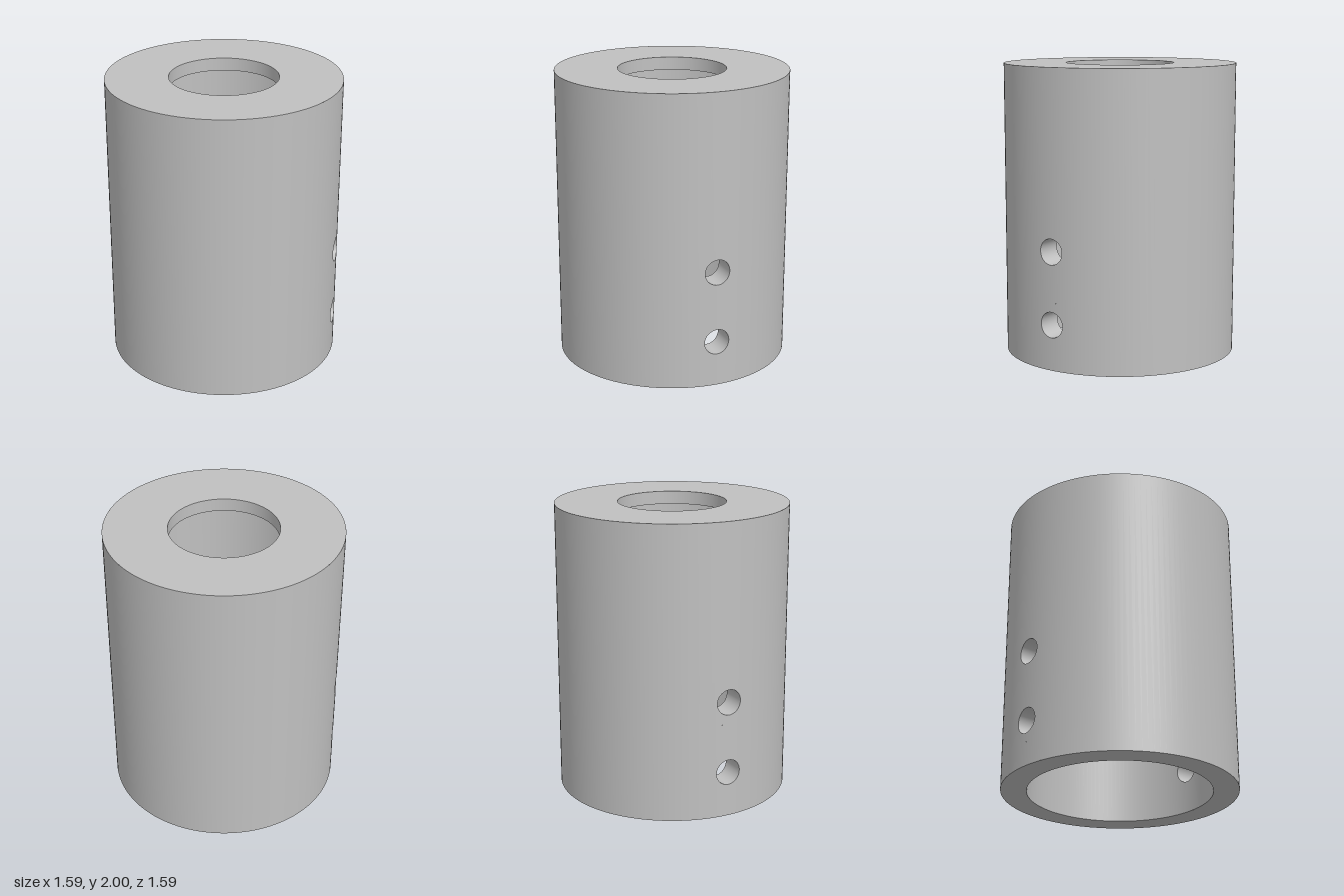
import * as THREE from 'three';
import { ParametricGeometry } from 'three/addons/geometries/ParametricGeometry.js';

const OUTER = 0.797, BORE = 0.623, MOUTH = 0.37; // radii
const HEIGHT = 2, LEDGE = 1.91;                  // lip underside height
const HOLE = 0.087, HOLE_Y = [0.31, 0.8];        // cross holes along x
const S = 0.15;                                  // half size of the wall patch round a hole

export function createModel() {
  const model = new THREE.Group();
  model.name = 'collar';
  const grey = new THREE.MeshStandardMaterial({ color: 0xc0c0c0, side: THREE.DoubleSide });
  grey.name = 'metalGrey';

  const add = (parent, name, geometry) => {
    const mesh = new THREE.Mesh(geometry, grey);
    mesh.name = name;
    parent.add(mesh);
  };
  const surface = (parent, name, nu, nv, flip, fn) =>
    add(parent, name, new ParametricGeometry((u, v, p) => fn(flip ? 1 - u : u, v, p), nu, nv));

  // Section of a cylinder wall between two angles and two heights
  const wall = (parent, name, r, a0, a1, y0, y1, inward, n) =>
    surface(parent, name, n, 1, !inward, (u, v, p) => {
      const a = a0 + (a1 - a0) * u;
      p.set(r * Math.cos(a), y0 + (y1 - y0) * v, r * Math.sin(a));
    });

  // Curved square patch with a round hole
  const holePatch = (parent, name, r, y, inward) =>
    surface(parent, name, 64, 6, inward, (u, v, p) => {
      const a = u * Math.PI * 2, c = Math.cos(a), s = Math.sin(a);
      const d = HOLE + (S / Math.max(Math.abs(c), Math.abs(s)) - HOLE) * v;
      p.set(Math.sqrt(r * r - d * d * c * c), y + d * s, d * c);
    });

  // Each half holds one side of the cross holes
  for (let k = 0; k < 2; k++) {
    const half = new THREE.Group();
    half.name = k ? 'rightHalf' : 'leftHalf';
    half.rotation.y = k * Math.PI;
    model.add(half);

    for (const [name, r, top, inward] of [['outerWall', OUTER, HEIGHT, false], ['boreWall', BORE, LEDGE, true]]) {
      const a = Math.asin(S / r);
      wall(half, name, r, a, Math.PI - a, 0, top, inward, 56);
      let from = 0;
      for (const y of HOLE_Y) {
        wall(half, name + 'Strip', r, -a, a, from, y - S, inward, 12);
        holePatch(half, name + 'HolePatch', r, y, inward);
        from = y + S;
      }
      wall(half, name + 'Strip', r, -a, a, from, top, inward, 12);
    }

    // Lining of the cross holes through the wall
    for (const y of HOLE_Y) {
      surface(half, 'crossHole', 64, 1, false, (u, v, p) => {
        const z = HOLE * Math.cos(u * Math.PI * 2);
        const x0 = Math.sqrt(BORE * BORE - z * z), x1 = Math.sqrt(OUTER * OUTER - z * z);
        p.set(x0 + (x1 - x0) * v, y + HOLE * Math.sin(u * Math.PI * 2), z);
      });
    }
  }

  // Flat end faces, ledge under the lip, and the lip's opening
  const ring = (name, r0, r1, y, up) =>
    add(model, name, new THREE.RingGeometry(r0, r1, 128).rotateX(up ? -Math.PI / 2 : Math.PI / 2).translate(0, y, 0));
  ring('topFace', MOUTH, OUTER, HEIGHT, true);
  ring('bottomFace', BORE, OUTER, 0, false);
  ring('ledge', MOUTH, BORE, LEDGE, false);
  wall(model, 'topOpening', MOUTH, 0, Math.PI * 2, LEDGE, HEIGHT, true, 128);

  return model;
}
